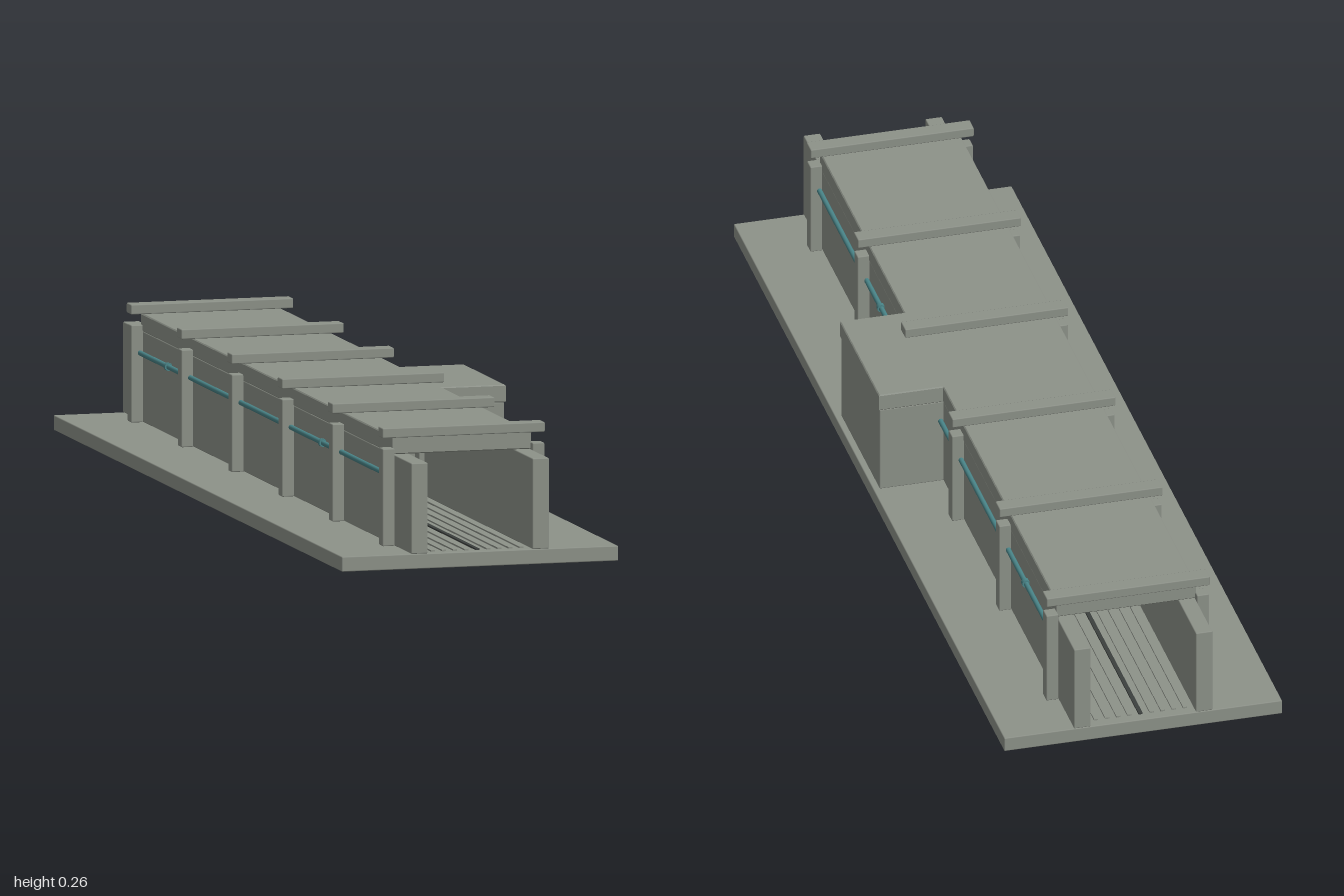
import * as THREE from 'three';
import { RoundedBoxGeometry } from 'three/addons/geometries/RoundedBoxGeometry.js';

const mat = (name, color) => {
  const m = new THREE.MeshStandardMaterial({ color });
  m.name = name;
  return m;
};

export function createModel() {
  const concrete = mat('concrete', 0x8d9289);
  const teal = mat('tealPipe', 0x4a868a);
  const dark = mat('darkMetal', 0x3c403e);

  const model = new THREE.Group();
  model.name = 'corridor';

  // Box given by its limits, with softly worn edges
  function block(name, x0, x1, y0, y1, z0, z1, material = concrete, bevel = 0.002) {
    const w = x1 - x0, h = y1 - y0, d = z1 - z0;
    const geo = bevel > 0
      ? new RoundedBoxGeometry(w, h, d, 1, bevel)
      : new THREE.BoxGeometry(w, h, d);
    const mesh = new THREE.Mesh(geo, material);
    mesh.position.set((x0 + x1) / 2, (y0 + y1) / 2, (z0 + z1) / 2);
    mesh.name = name;
    model.add(mesh);
  }

  const FLOOR = 0.029, WALL = 0.204, ROOF = 0.238;
  const ROOM_BACK = -0.036, ROOM_FRONT = 0.253;

  // Ground slab
  block('baseSlab', -0.275, 0.275, 0, FLOOR, -1, 1);

  // Corridor walls; the left one opens into the side room
  block('rightWall', -0.137, -0.104, FLOOR, WALL, -1, 1);
  block('leftWallFront', 0.104, 0.137, FLOOR, WALL, ROOM_FRONT - 0.02, 1);
  block('leftWallBack', 0.104, 0.137, FLOOR, WALL, -1, ROOM_BACK + 0.02);

  // Side room walls
  block('roomFrontWall', 0.093, 0.263, FLOOR, WALL, ROOM_FRONT - 0.03, ROOM_FRONT - 0.002);
  block('roomBackWall', 0.093, 0.263, FLOOR, WALL, ROOM_BACK + 0.002, ROOM_BACK + 0.03);
  block('roomOuterWall', 0.233, 0.263, FLOOR, WALL, ROOM_BACK + 0.002, ROOM_FRONT - 0.002);

  // One roof plate covering corridor and side room
  const END = 0.872, B = 0.002;
  const outline = new THREE.Shape([
    [-0.138, -END], [0.138, -END], [0.138, ROOM_BACK], [0.265, ROOM_BACK],
    [0.265, ROOM_FRONT], [0.138, ROOM_FRONT], [0.138, END], [-0.138, END],
  ].map(([x, z]) => new THREE.Vector2(x, z)));
  const roofGeo = new THREE.ExtrudeGeometry(outline, {
    depth: ROOF - WALL - 2 * B, bevelThickness: B, bevelSize: B, bevelOffset: -B, bevelSegments: 1,
  });
  roofGeo.rotateX(Math.PI / 2);
  const roof = new THREE.Mesh(roofGeo, concrete);
  roof.position.y = ROOF - B;
  roof.name = 'roof';
  model.add(roof);

  // Ribs: a beam over the roof with a post on each side
  for (let i = 0; i < 6; i++) {
    const z = -0.872 + i * 0.3488;
    block('roofBeam', -0.162, 0.161, ROOF, 0.257, z - 0.016, z + 0.016);
    for (const s of [-1, 1]) {
      if (s > 0 && z > ROOM_BACK && z < ROOM_FRONT) continue;
      const x = s * 0.149;
      block('post', x - 0.012, x + 0.012, FLOOR, 0.217, z - 0.013, z + 0.013);
    }
  }

  // Service pipes along both sides, with small collars
  function pipe(name, x, z0, z1, r) {
    const geo = new THREE.CylinderGeometry(r, r, z1 - z0, 10);
    geo.rotateX(Math.PI / 2);
    const mesh = new THREE.Mesh(geo, teal);
    mesh.position.set(x, 0.163, (z0 + z1) / 2);
    mesh.name = name;
    model.add(mesh);
  }
  pipe('rightPipe', -0.143, -END, END, 0.005);
  pipe('leftPipeBack', 0.143, -END, ROOM_BACK, 0.005);
  pipe('leftPipeFront', 0.143, ROOM_FRONT, END, 0.005);
  for (const x of [-0.143, 0.143]) {
    for (const z of [-0.665, 0.405]) pipe('pipeCollar', x, z - 0.005, z + 0.005, 0.008);
  }

  // Floor slats running the length of the corridor, the middle one dark
  for (let i = -4; i <= 4; i++) {
    const x = i * 0.022;
    block('floorSlat', x - 0.004, x + 0.004, FLOOR - 0.001, 0.032, -0.98, 0.98, i === 0 ? dark : concrete, 0);
  }

  return model;
}
